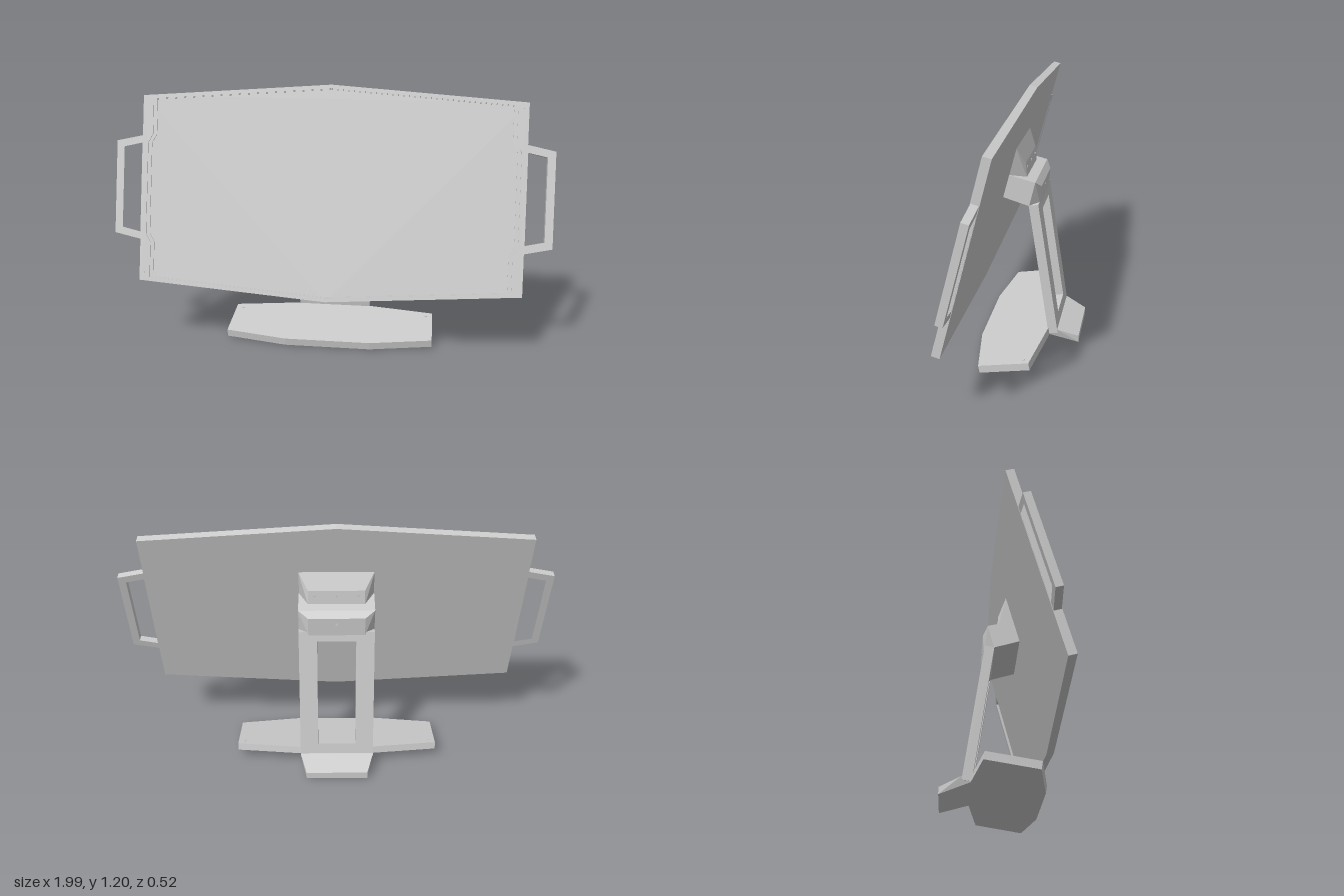
import * as THREE from 'three';
import { ConvexGeometry } from 'three/addons/geometries/ConvexGeometry.js';

const material = new THREE.MeshStandardMaterial({ color: 0xcccccc, flatShading: true });
const v2 = ([x, y]) => new THREE.Vector2(x, y);

function add(parent, name, geometry) {
  const mesh = new THREE.Mesh(geometry, material);
  mesh.name = name;
  parent.add(mesh);
  return mesh;
}

// Flat plate from an outline and optional hole, spanning back..front in z
function plate(outline, hole, back, front) {
  const shape = new THREE.Shape(outline.map(v2));
  if (hole) shape.holes.push(new THREE.Path(hole.map(v2)));
  return new THREE.ExtrudeGeometry(shape, { depth: front - back, bevelEnabled: false }).translate(0, 0, back);
}

// Convex block, mirrored in x, from [halfWidth, y, z] corners
function block(corners) {
  return new ConvexGeometry(corners.flatMap(([w, y, z]) =>
    [new THREE.Vector3(w, y, z), new THREE.Vector3(-w, y, z)]));
}

// Complete a right-half outline (listed bottom to top) with its mirror
const mirrorX = (half) => [...half, ...half.map(([x, y]) => [-x, y]).reverse()];
const rect = (w, y0, y1) => [[-w, y0], [w, y0], [w, y1], [-w, y1]];

// Small hexagonal screw head facing +z or -z
function screw(parent, x, y, z, tilt = 0) {
  const s = add(parent, 'screw', new THREE.CylinderGeometry(0.006, 0.006, 0.005, 6).rotateX(Math.PI / 2));
  s.position.set(x, y, z);
  s.rotation.x = tilt;
}

const W = 0.873, SIDE = 0.428, PEAK = 0.491, T = 0.036;
const edge = (x) => PEAK - (PEAK - SIDE) * x / W;

// Display opening: sides step outward beside the handles
function opening(x, inset) {
  const top = edge(x) - inset, out = x + 0.022;
  return [
    [0, inset - PEAK], [x, -top], [x, -0.25], [out, -0.21], [out, 0.21], [x, 0.25], [x, top],
    [0, PEAK - inset], [-x, top], [-x, 0.25], [-out, 0.21], [-out, -0.21], [-x, -0.25], [-x, -top],
  ];
}

function buildScreen() {
  const screen = new THREE.Group();
  screen.name = 'screen';
  const outline = [[0, -PEAK], [W, -SIDE], [W, SIDE], [0, PEAK], [-W, SIDE], [-W, -SIDE]];

  // Housing, stepped bezel and recessed display
  add(screen, 'housing', plate(outline, null, -T, -0.008));
  add(screen, 'innerBezel', plate(outline, opening(0.808, 0.022), -0.008, -0.004));
  add(screen, 'outerBezel', plate(outline, opening(0.825, 0.018), -0.004, 0));

  // Side handles
  for (const s of [1, -1]) {
    const outer = [[0.865, -0.239], [0.995, -0.211], [0.995, 0.217], [0.865, 0.245]];
    const inner = [[0.875, -0.203], [0.96, -0.184], [0.96, 0.19], [0.875, 0.209]];
    const flip = (p) => p.map(([x, y]) => [x * s, y]);
    add(screen, s > 0 ? 'leftHandle' : 'rightHandle', plate(flip(outer), flip(inner), -0.034, -0.002));
    for (const y of [-0.39, 0.402]) screw(screen, 0.855 * s, y, 0);
  }
  screen.position.set(0, 0.732, 0.133);
  screen.rotation.x = -0.263;
  return screen;
}

function buildStand() {
  const stand = new THREE.Group();
  stand.name = 'stand';

  // Base plate, rising toward the back
  const half = [[0.2, 0], [0.487, 0.048], [0.487, 0.277], [0.175, 0.319]];
  const base = add(stand, 'base', plate(mirrorX(half), null, 0, 0.035).rotateX(-Math.PI / 2));
  base.position.set(0, 0.003, 0.195);
  base.rotation.x = 0.163;
  for (const x of [-0.455, 0.455]) {
    const s = add(base, 'baseScrew', new THREE.CylinderGeometry(0.007, 0.007, 0.004, 6));
    s.position.set(x, 0.036, -0.25);
  }

  // Rear foot
  add(stand, 'rearFoot', block([
    [0.175, 0.058, -0.113], [0.175, 0.092, -0.116], [0.175, 0.082, -0.16],
    [0.145, 0.042, -0.255], [0.145, 0.01, -0.255],
  ]));

  // Upright with a long opening
  const post = add(stand, 'upright', plate(rect(0.175, 0, 0.647), rect(0.09, 0.07, 0.6), -0.044, 0));
  post.position.set(0, 0.06, -0.115);
  post.rotation.x = 0.147;

  // Faceted head on the upright and mount on the screen's back
  add(stand, 'head', block([
    [0.175, 0.84, 0.072], [0.175, 0.735, 0.1], [0.175, 0.81, -0.05],
    [0.175, 0.698, -0.022], [0.13, 0.78, -0.072], [0.13, 0.69, -0.066],
  ]));
  add(stand, 'mount', block([
    [0.175, 0.968, 0.036], [0.175, 0.825, 0.075], [0.13, 0.885, 0], [0.13, 0.815, -0.006],
  ]));
  for (const x of [-0.1, 0, 0.1]) screw(stand, x, 0.86, -0.002, -0.08);
  screw(stand, 0, 0.75, -0.07, 0.07);
  return stand;
}

export function createModel() {
  const model = new THREE.Group();
  model.name = 'monitor';
  model.add(buildScreen(), buildStand());
  return model;
}
